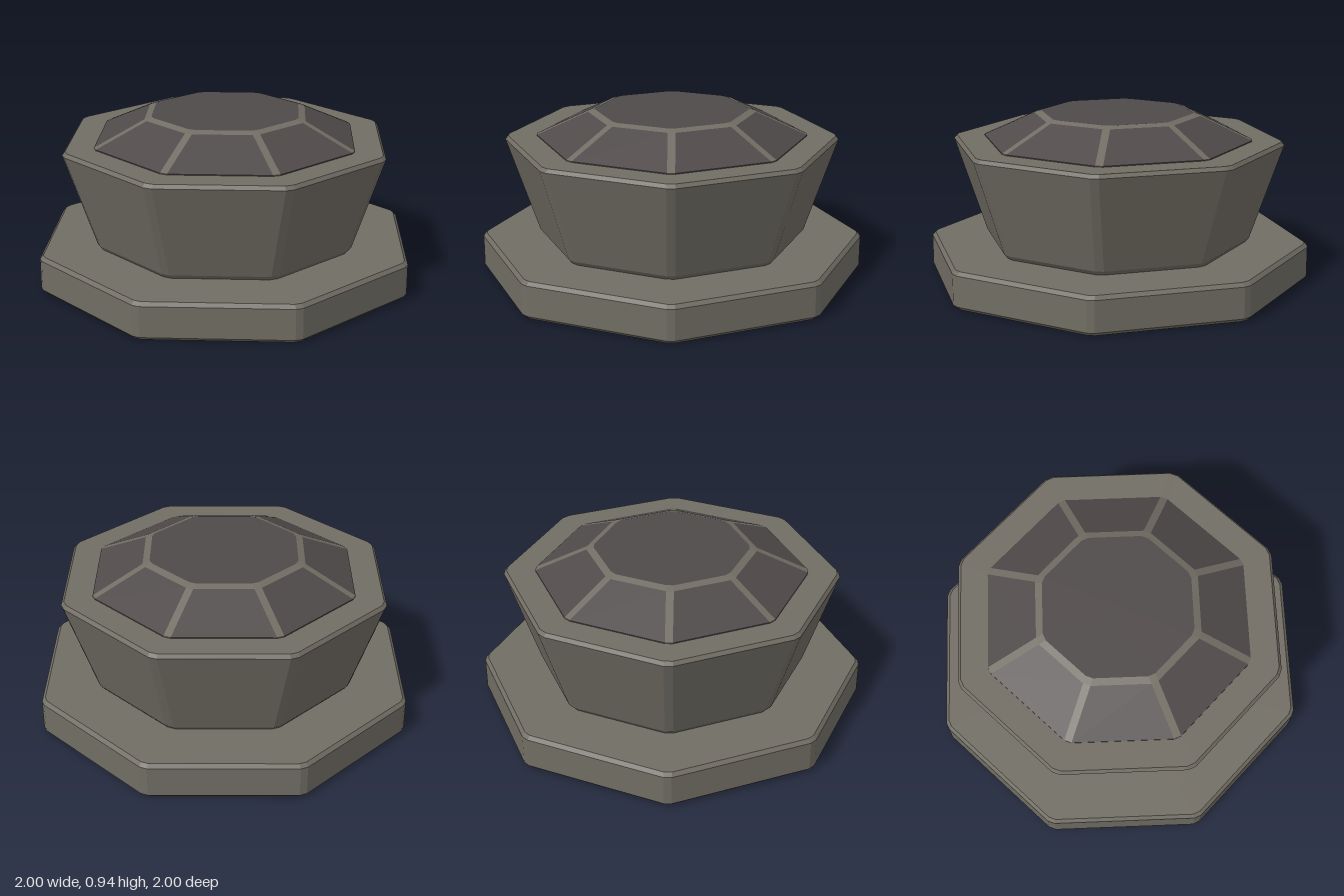
import * as THREE from 'three';

const stone = new THREE.MeshStandardMaterial({ color: 0x716d64 });
stone.name = 'warm grey stone';
const slate = new THREE.MeshStandardMaterial({ color: 0x504a4a });
slate.name = 'dark slate';

// Octagon facing the axes, with each corner cut by a narrow chamfer (16 points)
function ring(apothem, y, cut) {
  const half = apothem * Math.tan(Math.PI / 8) - cut;
  const points = [];
  for (let k = 0; k < 8; k++) {
    const s = Math.sin(k * Math.PI / 4), c = Math.cos(k * Math.PI / 4);
    for (const h of [-half, half]) {
      points.push([apothem * s + h * c, y, apothem * c - h * s]);
    }
  }
  return points;
}

// Stack of [apothem, y] rings; isDark(band, side) picks the faces in slate
function octagonSolid(name, profile, cut, isDark = () => false) {
  const rings = profile.map(([a, y]) => ring(a, y, cut));
  const light = [], dark = [];
  const last = rings.length - 1;
  for (let b = 0; b < last; b++) {
    for (let i = 0; i < 16; i++) {
      const j = (i + 1) % 16;
      const [p, q, r, s] = [rings[b][i], rings[b][j], rings[b + 1][j], rings[b + 1][i]];
      (isDark(b, i) ? dark : light).push(...p, ...q, ...r, ...p, ...r, ...s);
    }
  }
  // Closing caps
  for (let i = 0; i < 16; i++) {
    const j = (i + 1) % 16;
    light.push(0, profile[0][1], 0, ...rings[0][j], ...rings[0][i]);
    (isDark(last, i) ? dark : light).push(0, profile[last][1], 0, ...rings[last][i], ...rings[last][j]);
  }
  const geometry = new THREE.BufferGeometry();
  geometry.setAttribute('position', new THREE.Float32BufferAttribute([...light, ...dark], 3));
  geometry.addGroup(0, light.length / 3, 0);
  if (dark.length) geometry.addGroup(light.length / 3, dark.length / 3, 1);
  geometry.computeVertexNormals();
  const mesh = new THREE.Mesh(geometry, [stone, slate]);
  mesh.name = name;
  return mesh;
}

export function createModel() {
  const model = new THREE.Group();
  model.name = 'octagonalPedestal';

  // Wide bevelled slab
  model.add(octagonSolid('baseSlab',
    [[0.98, 0], [1, 0.02], [1, 0.19], [0.982, 0.21]], 0.022));

  // Flared block resting on the slab
  model.add(octagonSolid('flaredBody',
    [[0.675, 0.205], [0.7, 0.235], [0.865, 0.765], [0.85, 0.785]], 0.025));

  // Faceted cap: slate panels framed by stone ribs along its bevelled edges
  model.add(octagonSolid('facetedCap',
    [[0.702, 0.78], [0.702, 0.79], [0.437, 0.922], [0.4, 0.935]], 0.022,
    (band, side) => band === 3 || (band < 2 && side % 2 === 0)));

  return model;
}
